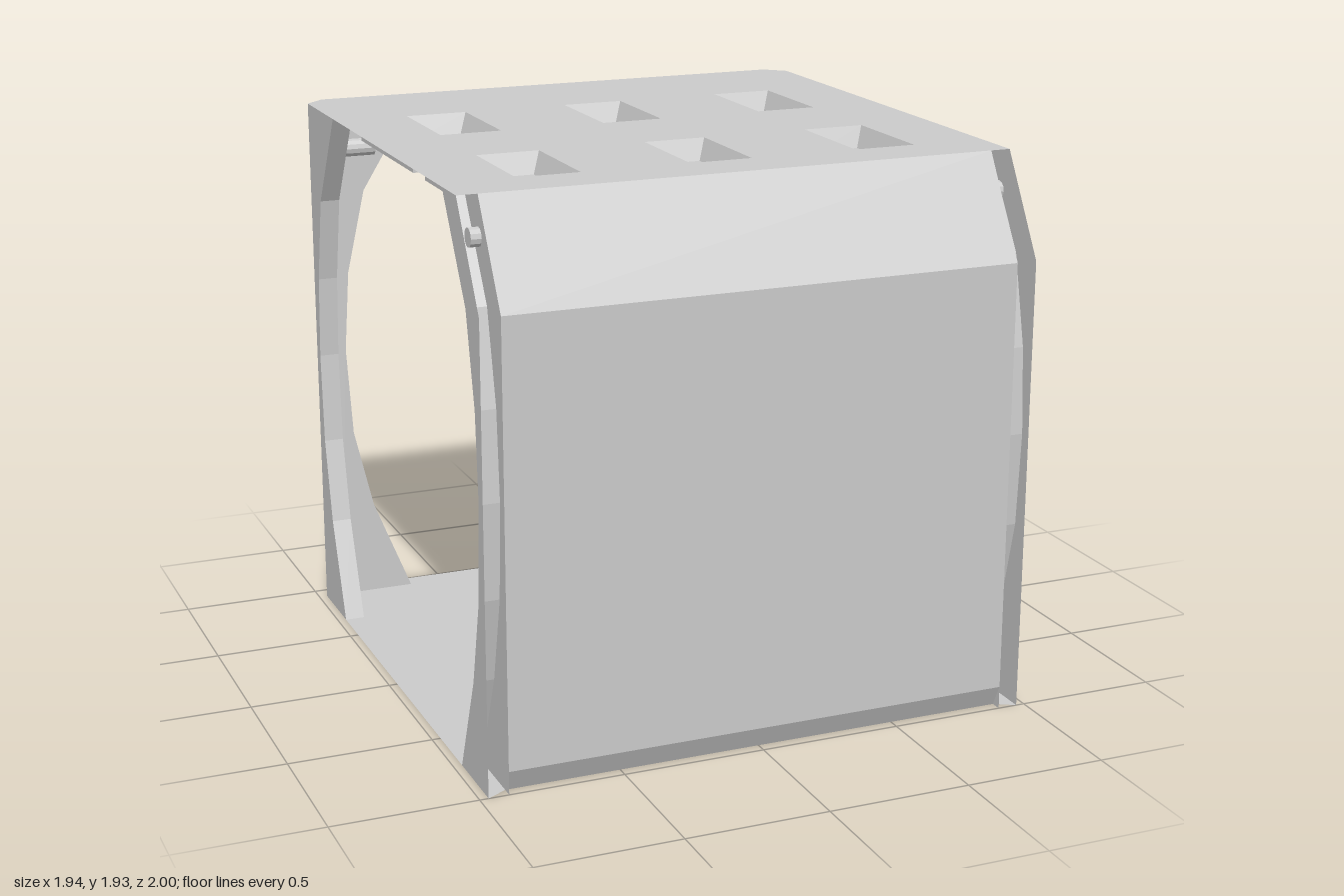
import * as THREE from 'three';

const material = new THREE.MeshStandardMaterial({ color: 0xcccccc, side: THREE.DoubleSide, flatShading: true });
const HEIGHT = 1.93, HALF = 0.97, INNER = 0.9, BACK = -0.935;

function addMesh(parent, name, geometry, x = 0, y = 0, z = 0) {
  const mesh = new THREE.Mesh(geometry, material);
  mesh.name = name;
  mesh.position.set(x, y, z);
  parent.add(mesh);
  return mesh;
}

// Band of quads joining two matching rows of points
function band(rowA, rowB) {
  const pos = [];
  for (let i = 0; i < rowA.length - 1; i++) {
    const [a, b, c, d] = [rowA[i], rowB[i], rowB[i + 1], rowA[i + 1]];
    pos.push(...a, ...b, ...c, ...a, ...c, ...d);
  }
  const g = new THREE.BufferGeometry();
  g.setAttribute('position', new THREE.Float32BufferAttribute(pos, 3));
  g.computeVertexNormals();
  return g;
}

const shapeOf = (points) => new THREE.Shape(points.map(([x, y]) => new THREE.Vector2(x, y)));

// Mirrors half an outline (x > 0) to the other side
const mirrored = (half) => [...half, ...half.map(([x, z]) => [-x, z]).reverse()];

// Rectangle as a closed loop at height y
const rectLoop = (w, d, y) =>
  [[1, 1], [1, -1], [-1, -1], [-1, 1], [1, 1]].map(([sx, sz]) => [sx * w / 2, y, sz * d / 2]);

// Arched rib: two side plates and a curved inner flange, open on its outer edge
const ARCH = [[0.27, 0], [0.13, 0.35], [0.06, 0.65], [0.04, 0.98], [0.06, 1.28], [0.13, 1.59], [0.34, HEIGHT]];

function makeRib(name, chamfered, thickness) {
  const rib = new THREE.Group();
  rib.name = name;
  const outer = chamfered ? [[0.2, HEIGHT], [0, 1.59], [0, 0]] : [[0, HEIGHT], [0, 0]];
  const plate = new THREE.ShapeGeometry(shapeOf([...ARCH, ...outer]));
  addMesh(rib, 'ribPlate', plate);
  addMesh(rib, 'ribPlate', plate, 0, 0, thickness);
  addMesh(rib, 'ribFlange', band(
    ARCH.map(([u, y]) => [u, y, 0]),
    ARCH.map(([u, y]) => [u, y, thickness])));
  return rib;
}

function addPin(rib, z) {
  addMesh(rib, 'ribPin', new THREE.CylinderGeometry(0.032, 0.032, 0.15, 12).rotateX(Math.PI / 2), 0.2, 1.795, z);
}

function makeRibs(side) {
  const half = new THREE.Group();
  half.name = side > 0 ? 'leftRibs' : 'rightRibs';
  half.scale.x = side;

  const front = makeRib('frontRib', true, HALF - INNER);
  front.rotation.y = Math.PI / 2;
  front.position.set(INNER, 0, 1);

  const sideBack = makeRib('sideBackRib', false, HALF - INNER);
  sideBack.rotation.y = -Math.PI / 2;
  sideBack.position.set(HALF, 0, BACK);
  addPin(sideBack, 0.11);

  const back = makeRib('backRib', false, 1 + BACK);
  back.rotation.y = Math.PI;
  back.position.set(INNER, 0, BACK);
  addPin(back, -0.04);

  half.add(front, sideBack, back);
  return half;
}

export function createModel() {
  const model = new THREE.Group();
  model.name = 'roomModule';

  // Floor with clipped back corners and a recessed front edge
  const floor = mirrored([[INNER, 0.96], [HALF, 1], [HALF, BACK], [INNER, -1]]);
  addMesh(model, 'floor', new THREE.ShapeGeometry(shapeOf(floor)).rotateX(Math.PI / 2));

  // Front wall with a bottom bevel and a sloped top
  const wall = [[0, 0.96], [0.08, 1], [1.59, 1], [HEIGHT, 0.8]];
  addMesh(model, 'frontWall', band(
    wall.map(([y, z]) => [-INNER, y, z]),
    wall.map(([y, z]) => [INNER, y, z])));

  // Ceiling with six tapered recesses closed by panels below
  const ceiling = shapeOf(mirrored([[HALF, 0.8], [HALF, BACK], [INNER, -1]]));
  const recess = band(rectLoop(0.22, 0.39, HEIGHT), rectLoop(0.155, 0.32, 1.855));
  const panel = new THREE.BoxGeometry(0.5, 0.024, 0.625);
  for (const x of [-0.6, 0, 0.6]) {
    for (const [z, panelZ] of [[-0.355, -0.345], [0.418, 0.415]]) {
      const hole = rectLoop(0.22, 0.39, 0).slice(0, 4).map(([dx, , dz]) => new THREE.Vector2(x + dx, z + dz));
      ceiling.holes.push(new THREE.Path(hole));
      addMesh(model, 'ceilingRecess', recess, x, 0, z);
      addMesh(model, 'ceilingPanel', panel, x, 1.845, panelZ);
    }
  }
  addMesh(model, 'ceiling', new THREE.ShapeGeometry(ceiling).rotateX(Math.PI / 2), 0, HEIGHT, 0);

  // Rod running along the top of the front wall
  addMesh(model, 'frontRod',
    new THREE.CylinderGeometry(0.032, 0.032, 1.87, 12).rotateZ(Math.PI / 2), 0, 1.795, 0.8);

  model.add(makeRibs(1), makeRibs(-1));
  return model;
}
